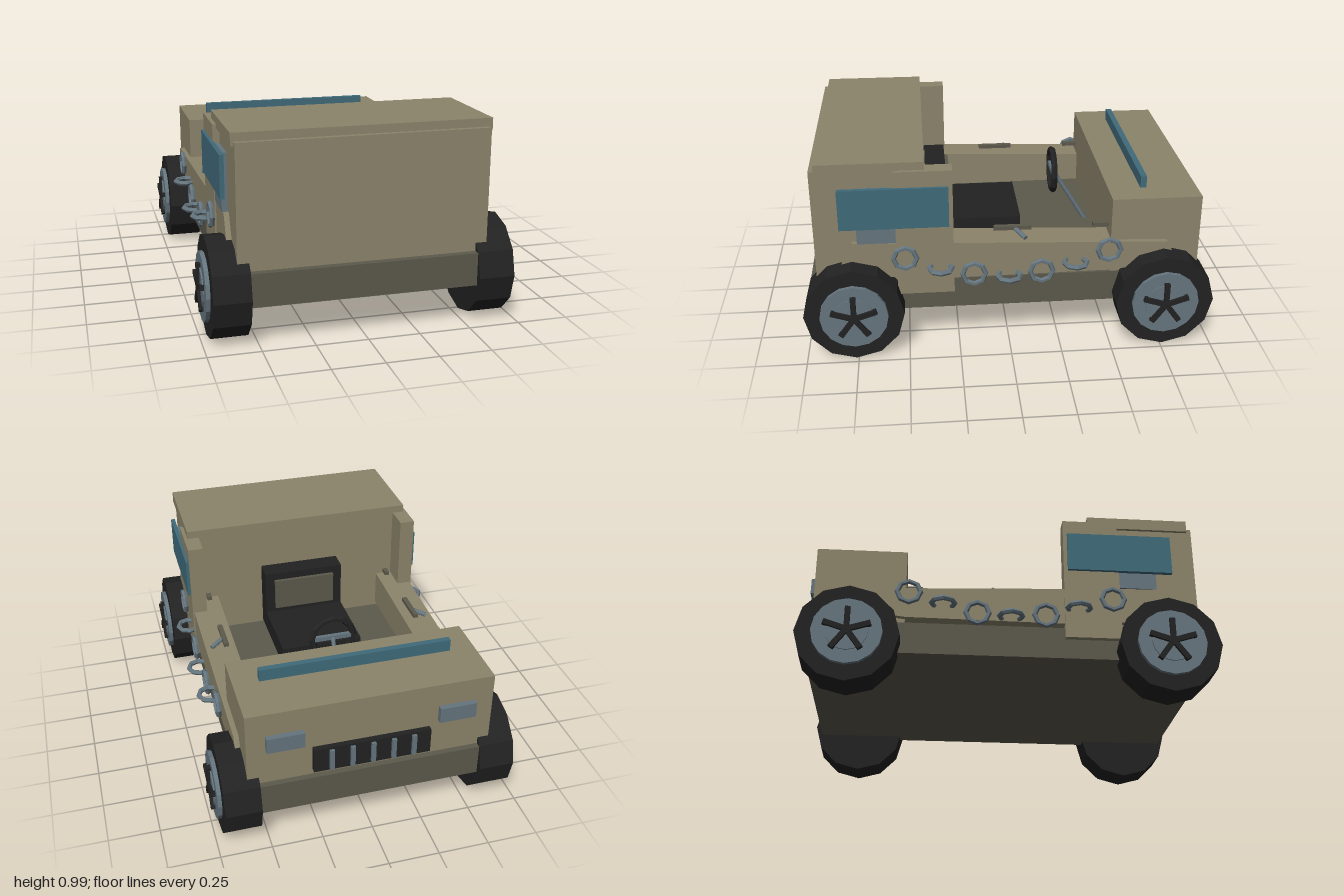
import * as THREE from 'three';

const mat = (name, color) => {
  const m = new THREE.MeshStandardMaterial({ color });
  m.name = name;
  m.flatShading = true;
  return m;
};

export function createModel() {
  const khaki = mat('khaki', 0x8c846b);
  const darkKhaki = mat('dark khaki', 0x5c594c);
  const black = mat('black', 0x222222);
  const steel = mat('blue grey', 0x65757e);
  const glass = mat('teal glass', 0x406a7a);
  const model = new THREE.Group();

  const add = (name, geo, material, parent = model) => {
    const m = new THREE.Mesh(geo, material);
    m.name = name;
    parent.add(m);
    return m;
  };
  // Box given by its extents along x, y and z
  const box = (name, material, x0, x1, y0, y1, z0, z1, parent) => {
    const m = add(name, new THREE.BoxGeometry(x1 - x0, y1 - y0, z1 - z0), material, parent);
    m.position.set((x0 + x1) / 2, (y0 + y1) / 2, (z0 + z1) / 2);
    return m;
  };
  // Thin round rod between two points
  const rod = (name, material, a, b, r, parent) => {
    const p = new THREE.Vector3(...a), q = new THREE.Vector3(...b);
    const m = add(name, new THREE.CylinderGeometry(r, r, p.distanceTo(q), 8), material, parent);
    m.position.copy(p).lerp(q, 0.5);
    m.quaternion.setFromUnitVectors(new THREE.Vector3(0, 1, 0), q.sub(p).normalize());
    return m;
  };

  // Main body
  box('chassis', darkKhaki, -0.6, 0.6, 0.2, 0.36, -0.97, 0.97);
  box('hood', khaki, -0.595, 0.595, 0.36, 0.75, -0.94, -0.5);
  box('rearBody', khaki, -0.595, 0.595, 0.36, 0.95, 0.405, 0.935);
  box('roof', khaki, -0.61, 0.61, 0.93, 0.99, 0.4, 0.91);
  box('windscreen', glass, -0.47, 0.47, 0.75, 0.81, -0.69, -0.66);

  // Nose: grille, slats and lamps
  box('grille', black, -0.285, 0.285, 0.39, 0.52, -0.968, -0.935);
  for (let i = -2; i <= 2; i++) {
    box('grilleSlat', steel, i * 0.1 - 0.011, i * 0.1 + 0.011, 0.4, 0.51, -0.982, -0.96);
  }

  // Seat
  box('seatCushion', black, -0.215, 0.215, 0.38, 0.49, -0.095, 0.3);
  box('seatBack', black, -0.215, 0.215, 0.38, 0.73, 0.285, 0.39);
  box('seatBackPanel', darkKhaki, -0.165, 0.165, 0.52, 0.69, 0.265, 0.29);

  // Steering
  const wheelRim = add('steeringWheel', new THREE.TorusGeometry(0.108, 0.017, 6, 12), black);
  wheelRim.position.set(0, 0.655, -0.287);
  box('steeringBar', steel, -0.1, 0.1, 0.643, 0.667, -0.297, -0.277);
  rod('steeringColumn', steel, [0, 0.655, -0.29], [0, 0.35, -0.475], 0.011);

  // Side panel profile in z and y
  const profile = new THREE.Shape([
    [0.84, 0.41], [0.756, 0.583], [-0.777, 0.525], [-0.83, 0.42], [-0.5, 0.38], [0.27, 0.374],
  ].map(p => new THREE.Vector2(...p)));

  // Parts repeated on both sides
  for (const s of [1, -1]) {
    const side = new THREE.Group();
    side.name = s > 0 ? 'leftSide' : 'rightSide';
    model.add(side);
    const sbox = (name, m, x0, x1, ...rest) =>
      box(name, m, Math.min(s * x0, s * x1), Math.max(s * x0, s * x1), ...rest, side);

    const panel = new THREE.ExtrudeGeometry(profile, { depth: 0.155, bevelEnabled: false });
    panel.rotateY(-Math.PI / 2);
    panel.translate(s > 0 ? 0.62 : -0.465, 0, 0);
    add('sidePanel', panel, khaki, side);
    sbox('pillar', khaki, 0.55, 0.628, 0.3, 0.95, 0.27, 0.545);
    sbox('sideWindow', glass, 0.622, 0.643, 0.665, 0.87, 0.29, 0.81);
    sbox('windowBracket', steel, 0.59, 0.623, 0.58, 0.86, 0.545, 0.73);
    sbox('headlight', steel, 0.325, 0.505, 0.55, 0.63, -0.968, -0.935);

    // Door rails and lever
    for (const [z0, z1] of [[-0.525, -0.42], [-0.115, 0.07], [0.36, 0.41]]) {
      sbox('doorRail', darkKhaki, 0.505, 0.53, 0.575, 0.595, z0, z1);
    }
    rod('doorLever', steel, [s * 0.59, 0.56, -0.08], [s * 0.52, 0.58, -0.035], 0.012, side);

    // Hanging chain: upright and flat links in turn
    const links = [[0.505, 0.505], [0.335, 0.447], [0.175, 0.405], [0.005, 0.39],
      [-0.155, 0.405], [-0.32, 0.447], [-0.485, 0.505]];
    links.forEach(([z, y], i) => {
      const link = add('chainLink', new THREE.TorusGeometry(0.056, 0.013, 6, 8), steel, side);
      link.position.set(s * (i % 2 ? 0.65 : 0.642), y, z);
      if (i % 2) link.rotation.x = Math.PI / 2;
      else link.rotation.y = Math.PI / 2;
    });

    // Wheels with five spokes
    for (const z of [0.76, -0.76]) {
      const wheel = new THREE.Group();
      wheel.name = z > 0 ? 'rearWheel' : 'frontWheel';
      wheel.position.set(0, 0.243, z);
      side.add(wheel);
      const disc = (name, m, r, x0, x1, n) => {
        const g = new THREE.CylinderGeometry(r, r, x1 - x0, n);
        g.rotateZ(Math.PI / 2);
        add(name, g, m, wheel).position.x = s * (x0 + x1) / 2;
      };
      disc('tire', black, 0.243, 0.54, 0.715, 12);
      disc('rim', steel, 0.165, 0.7, 0.735, 16);
      disc('hub', steel, 0.1, 0.72, 0.741, 16);
      for (let k = 0; k < 5; k++) {
        const g = new THREE.BoxGeometry(0.03, 0.115, 0.026);
        g.translate(0, 0.0575, 0);
        g.rotateX(k * Math.PI * 0.4);
        add('spoke', g, black, wheel).position.x = s * 0.74;
      }
    }
  }
  return model;
}
